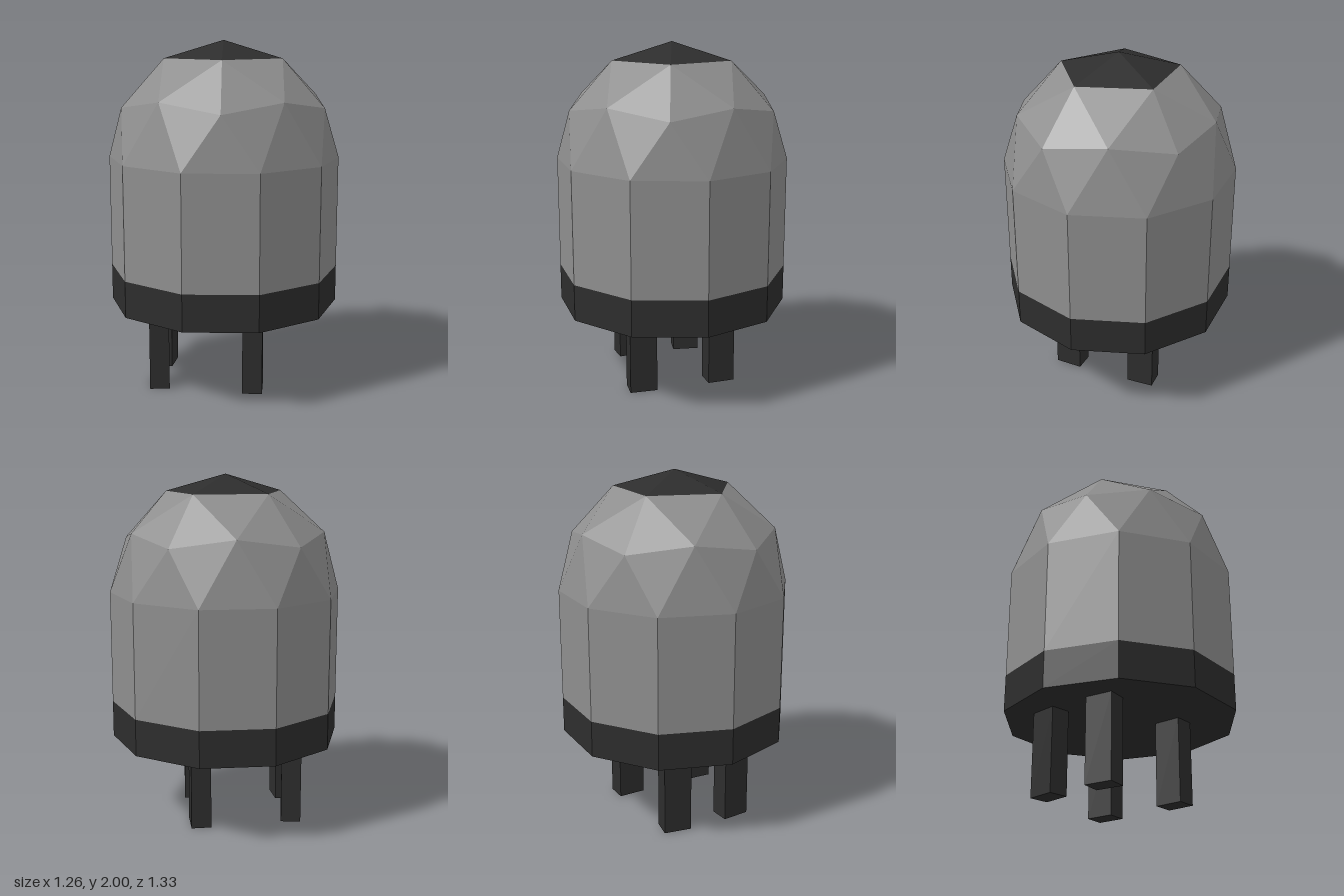
import * as THREE from 'three';

const R = 0.665;          // body radius
const DOME_Y = 1.333;     // height where the dome begins
const BASE_Y = 0.475;     // underside of the body
const BAND_Y = 0.685;     // top of the dark base band

const shellGrey = new THREE.MeshStandardMaterial({ color: 0x8e8e8e, flatShading: true });
shellGrey.name = 'shellGrey';
const charcoal = new THREE.MeshStandardMaterial({ color: 0x2d2d2d, flatShading: true });
charcoal.name = 'charcoal';

function addMesh(parent, name, geometry, material) {
  const mesh = new THREE.Mesh(geometry, material);
  mesh.name = name;
  parent.add(mesh);
  return mesh;
}

// Point on the dome sphere, from its angle in degrees and unit height
function domePoint(degrees, h) {
  const a = THREE.MathUtils.degToRad(degrees);
  const r = Math.sqrt(1 - h * h) * R;
  return new THREE.Vector3(Math.cos(a) * r, DOME_Y + h * R, Math.sin(a) * r);
}

function fromTriangles(points) {
  const geometry = new THREE.BufferGeometry().setFromPoints(points);
  geometry.computeVertexNormals();
  return geometry;
}

export function createModel() {
  const model = new THREE.Group();
  model.name = 'domedRobot';

  // Rings of the half icosphere: 5 upper points, 10 middle points, 10 rim points
  const apex = domePoint(0, 1);
  const upper = (k) => domePoint(72 * k, 0.851);
  const middle = (j) => domePoint(36 * j, j % 2 === 0 ? 0.447 : 0.526);
  const rim = (j) => domePoint(36 * j + 18, 0);

  const cap = [];
  const dome = [];
  for (let k = 0; k < 5; k++) {
    const u0 = upper(k), u1 = upper(k + 1);
    const m0 = middle(2 * k), m1 = middle(2 * k + 1), m2 = middle(2 * k + 2);
    cap.push(apex, u1, u0);
    dome.push(u0, m1, m0, u0, u1, m1, u1, m2, m1);
  }
  for (let j = 0; j < 10; j++) {
    dome.push(middle(j), rim(j), rim(j - 1), middle(j), middle(j + 1), rim(j));
  }
  addMesh(model, 'topCap', fromTriangles(cap), charcoal);
  addMesh(model, 'dome', fromTriangles(dome), shellGrey);

  // Ten-sided body wall
  const wall = addMesh(model, 'body',
    new THREE.CylinderGeometry(R, R, DOME_Y - BAND_Y, 10, 1, true), shellGrey);
  wall.position.y = (DOME_Y + BAND_Y) / 2;

  // Dark base band with its underside
  const band = addMesh(model, 'baseBand',
    new THREE.CylinderGeometry(R, R, BAND_Y - BASE_Y, 10), charcoal);
  band.position.y = (BAND_Y + BASE_Y) / 2;

  // Four legs, each slightly twisted: name, x, z, turn in degrees
  const legs = [
    ['frontRightLeg', -0.3, 0.28, 23],
    ['backRightLeg', -0.41, -0.075, 9],
    ['frontLeftLeg', 0.24, 0.172, 15.3],
    ['backLeftLeg', 0.092, -0.278, 19.4],
  ];
  for (const [name, x, z, turn] of legs) {
    const leg = addMesh(model, name, new THREE.BoxGeometry(0.114, BASE_Y, 0.159), charcoal);
    leg.position.set(x, BASE_Y / 2, z);
    leg.rotation.y = THREE.MathUtils.degToRad(turn);
  }

  return model;
}
